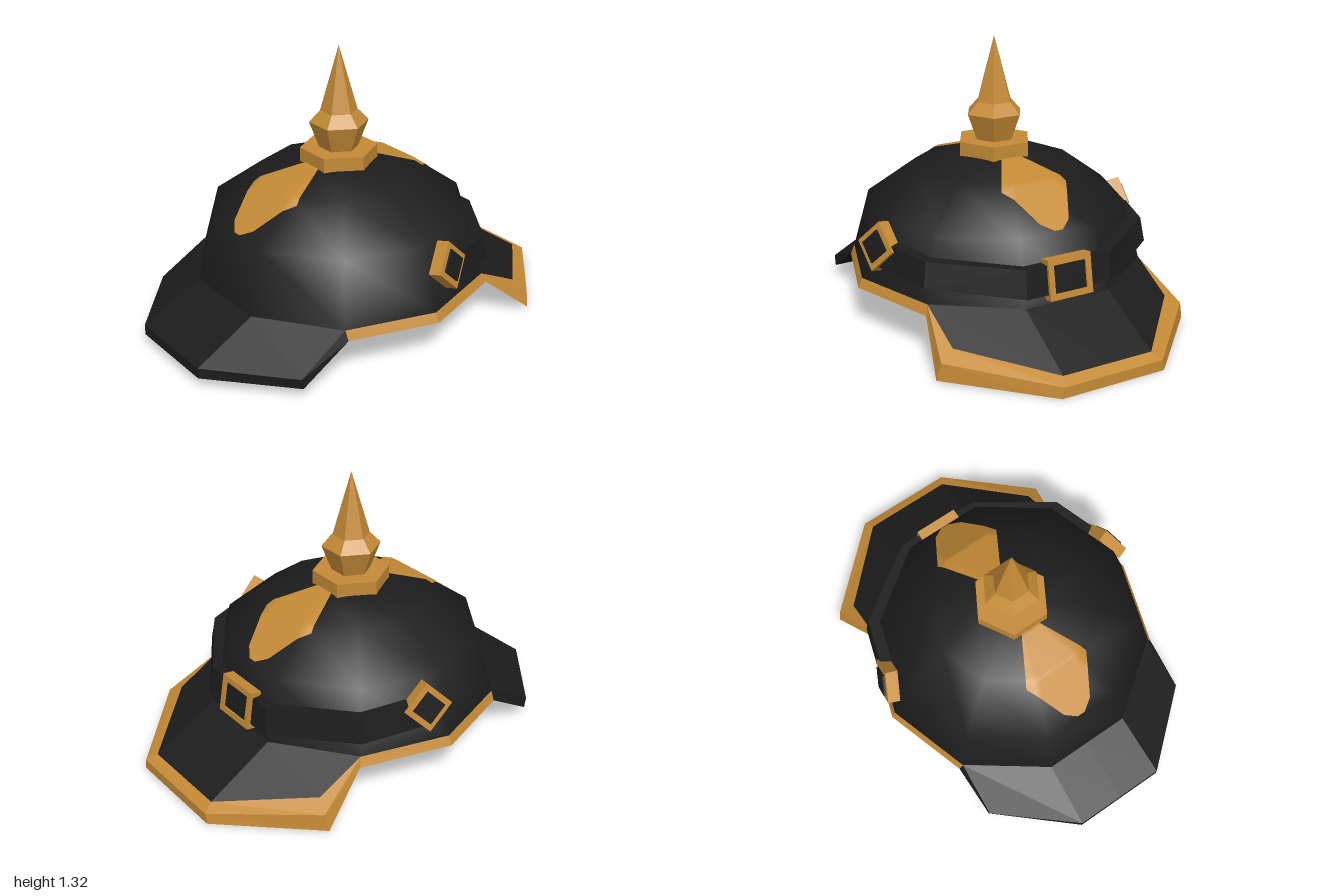
import * as THREE from 'three';

const black = new THREE.MeshStandardMaterial({ color: 0x1c1c1c, side: THREE.DoubleSide });
black.name = 'black leather';
const gold = new THREE.MeshStandardMaterial({ color: 0xc48a36, side: THREE.DoubleSide });
gold.name = 'brass';

const CZ = 0.04; // z of the dome axis
const domeProfile = [[0.7, 0.25], [0.62, 0.54], [0.385, 0.71], [0.175, 0.765], [0, 0.775]];

function addMesh(parent, name, geometry, material) {
  const mesh = new THREE.Mesh(geometry, material);
  mesh.name = name;
  parent.add(mesh);
  return mesh;
}

// Flat faces given for the +x half, mirrored to the other half
function mirroredFaces(faces) {
  const pos = [];
  const push = (f) => {
    for (let i = 1; i < f.length - 1; i++) pos.push(...f[0], ...f[i], ...f[i + 1]);
  };
  for (const f of faces) {
    push(f);
    push(f.map(([x, y, z]) => [-x, y, z]).reverse());
  }
  const g = new THREE.BufferGeometry();
  g.setAttribute('position', new THREE.Float32BufferAttribute(pos, 3));
  g.computeVertexNormals();
  return g;
}

function lathe(points, sides, start) {
  return new THREE.LatheGeometry(points.map(([r, y]) => new THREE.Vector2(r, y)), sides, start);
}

// Piecewise linear lookup through [input, output] pairs with rising input
function lookup(pairs, v) {
  for (let i = 1; i < pairs.length; i++) {
    const [a, fa] = pairs[i - 1], [b, fb] = pairs[i];
    if (v <= b) return fa + (fb - fa) * Math.max(0, (v - a) / (b - a));
  }
  return pairs[pairs.length - 1][1];
}

// Height of the ten-sided dome
const heights = [...domeProfile].reverse();
function domeY(x, z) {
  let r = 0;
  for (let k = 0; k < 10; k++) {
    const a = k * Math.PI / 5;
    r = Math.max(r, (x * Math.sin(a) + z * Math.cos(a)) / Math.cos(Math.PI / 10));
  }
  return lookup(heights, r);
}

// Leaf-shaped plate lying flush on the dome
function leafPlate() {
  const widths = [[0.13, 0.035], [0.37, 0.17], [0.545, 0.075], [0.582, 0.02]];
  const g = new THREE.PlaneGeometry(2, 1, 16, 64);
  const p = g.attributes.position;
  for (let i = 0; i < p.count; i++) {
    const z = 0.13 + 0.452 * (0.5 - p.getY(i));
    const x = p.getX(i) * lookup(widths, z);
    p.setXYZ(i, x, domeY(x, z) + 0.003, z + 0.002);
  }
  g.computeVertexNormals();
  return g;
}

// Square frame around a dark core, facing along a normal; lift sets the core above the frame face
function buckle(name, w, h, border, depth, lift, position, normal, roll) {
  const group = new THREE.Group();
  group.name = name;
  group.position.set(...position);
  group.lookAt(new THREE.Vector3(...position).add(new THREE.Vector3(...normal)));
  const rect = (path, a, b) =>
    path.moveTo(-a, -b).lineTo(a, -b).lineTo(a, b).lineTo(-a, b).lineTo(-a, -b);
  const shape = rect(new THREE.Shape(), w / 2, h / 2);
  shape.holes.push(rect(new THREE.Path(), w / 2 - border, h / 2 - border));
  const g = new THREE.ExtrudeGeometry(shape, { depth, bevelEnabled: false }).translate(0, 0, -depth / 2);
  addMesh(group, name + 'Frame', g, gold).rotation.z = roll;
  const core = new THREE.BoxGeometry(w - 2 * border, h - 2 * border, depth).translate(0, 0, lift);
  addMesh(group, name + 'Core', core, black).rotation.z = roll;
  return group;
}

export function createModel() {
  const model = new THREE.Group();
  model.name = 'spikedHelmet';

  // Dome
  addMesh(model, 'dome', lathe(domeProfile, 10, Math.PI / 10), black).position.z = CZ;

  // Rim outline of one half, from front centre to back centre
  const upper = [[0, 0.105, 1], [0.23, 0.105, 1], [0.58, 0.105, 0.7], [0.568, 0.25, 0.452], [0.7, 0.25, CZ],
    [0.566, 0.25, -0.372], [0.63, 0.095, -0.63], [0.25, 0.055, -1], [0, 0.055, -1]];
  const lower = [[0, 0.055, 1], [0.23, 0.055, 1], [0.58, 0.055, 0.69], [0.588, 0.205, 0.45], [0.72, 0.205, CZ],
    [0.582, 0.205, -0.39], [0.65, 0.015, -0.62], [0.26, 0.005, -1], [0, 0.005, -1]];
  const band = upper.slice(1).map((u, i) => [upper[i], lower[i], lower[i + 1], u]);

  // Front visor
  const front0 = [0, 0.25, 0.705], front1 = [0.216, 0.25, 0.705];
  addMesh(model, 'frontVisor', mirroredFaces([
    [front0, upper[0], upper[1], front1],
    [front1, upper[1], upper[2], upper[3]],
    ...band.slice(0, 3),
  ]), black);

  // Rear visor
  const back0 = [0, 0.25, -0.625], back1 = [0.216, 0.25, -0.625];
  const in0 = [0, 0.08, -0.95], in1 = [0.225, 0.08, -0.95], in2 = [0.56, 0.135, -0.6];
  addMesh(model, 'rearVisor', mirroredFaces([
    [upper[5], in2, in1, back1],
    [back1, in1, in0, back0],
  ]), black);

  // Brass trim around sides and back, with a border above and below the rear visor
  const low0 = [0, 0.055, -0.95], low1 = [0.225, 0.055, -0.95], low2 = [0.56, 0.085, -0.6];
  addMesh(model, 'rimTrim', mirroredFaces([
    [upper[5], upper[6], in2],
    [in2, upper[6], upper[7], in1],
    [in1, upper[7], upper[8], in0],
    [lower[5], low2, lower[6]],
    [low2, low1, lower[7], lower[6]],
    [low1, low0, lower[8], lower[7]],
    ...band.slice(3),
  ]), gold);

  // Closed underside, sagging slightly along the middle
  const edge = [...lower.slice(1, 6), low2, low1];
  const middle = [[0.055, 1], [0.055, 0.69], [0.16, 0.53], [0.14, CZ], [0.12, -0.48], [0.085, -0.6], [0.055, -0.95]]
    .map(([y, z]) => [0, y, z]);
  addMesh(model, 'underside', mirroredFaces(
    middle.slice(1).map((m, i) => [edge[i], middle[i], m, edge[i + 1]])
  ), black);

  // Collar and spike
  const collar = addMesh(model, 'spikeCollar',
    new THREE.CylinderGeometry(0.184, 0.184, 0.09, 6).toNonIndexed(), gold);
  collar.geometry.computeVertexNormals();
  collar.position.set(0, 0.785, CZ);
  collar.rotation.y = Math.PI / 6;
  const spikeGeo = lathe([[0.09, 0.82], [0.14, 0.955], [0.088, 1.01], [0, 1.32]], 6, Math.PI / 6).toNonIndexed();
  spikeGeo.computeVertexNormals();
  addMesh(model, 'spike', spikeGeo, gold).position.z = CZ;

  // Leaf plates in front of and behind the spike
  for (const [name, turn] of [['frontPlate', 0], ['rearPlate', Math.PI]]) {
    const plate = addMesh(model, name, leafPlate(), gold);
    plate.position.z = CZ;
    plate.rotation.y = turn;
  }

  // Strap around the back: x, z, bottom y, top y of each station
  const stations = [[0.675, -0.1, 0.35, 0.465], [0.588, -0.385, 0.335, 0.45], [0.22, -0.645, 0.3, 0.43], [0, -0.645, 0.3, 0.43]];
  const rings = stations.map(([x, z, y0, y1]) => {
    const at = (s, y) => [x * s, y, CZ + (z - CZ) * s];
    return [at(1, y0), at(0.97, y1), at(0.88, y1), at(0.92, y0)];
  });
  const strap = [rings[0]];
  for (let i = 0; i < 3; i++) {
    for (let k = 0; k < 4; k++) {
      const n = (k + 1) % 4;
      strap.push([rings[i][k], rings[i + 1][k], rings[i + 1][n], rings[i][n]]);
    }
  }
  addMesh(model, 'strap', mirroredFaces(strap), black);

  // Buckles
  for (const [name, s] of [['leftBuckle', 1], ['rightBuckle', -1]]) {
    model.add(buckle(name, 0.163, 0.163, 0.027, 0.06, 0.01, [s * 0.65, 0.435, -0.065], [s * 0.95, 0.23, -0.31], Math.PI / 4));
  }
  model.add(buckle('rearBuckle', 0.22, 0.185, 0.028, 0.055, -0.008, [0, 0.362, -0.622], [0, 0.18, -1], 0));

  return model;
}
